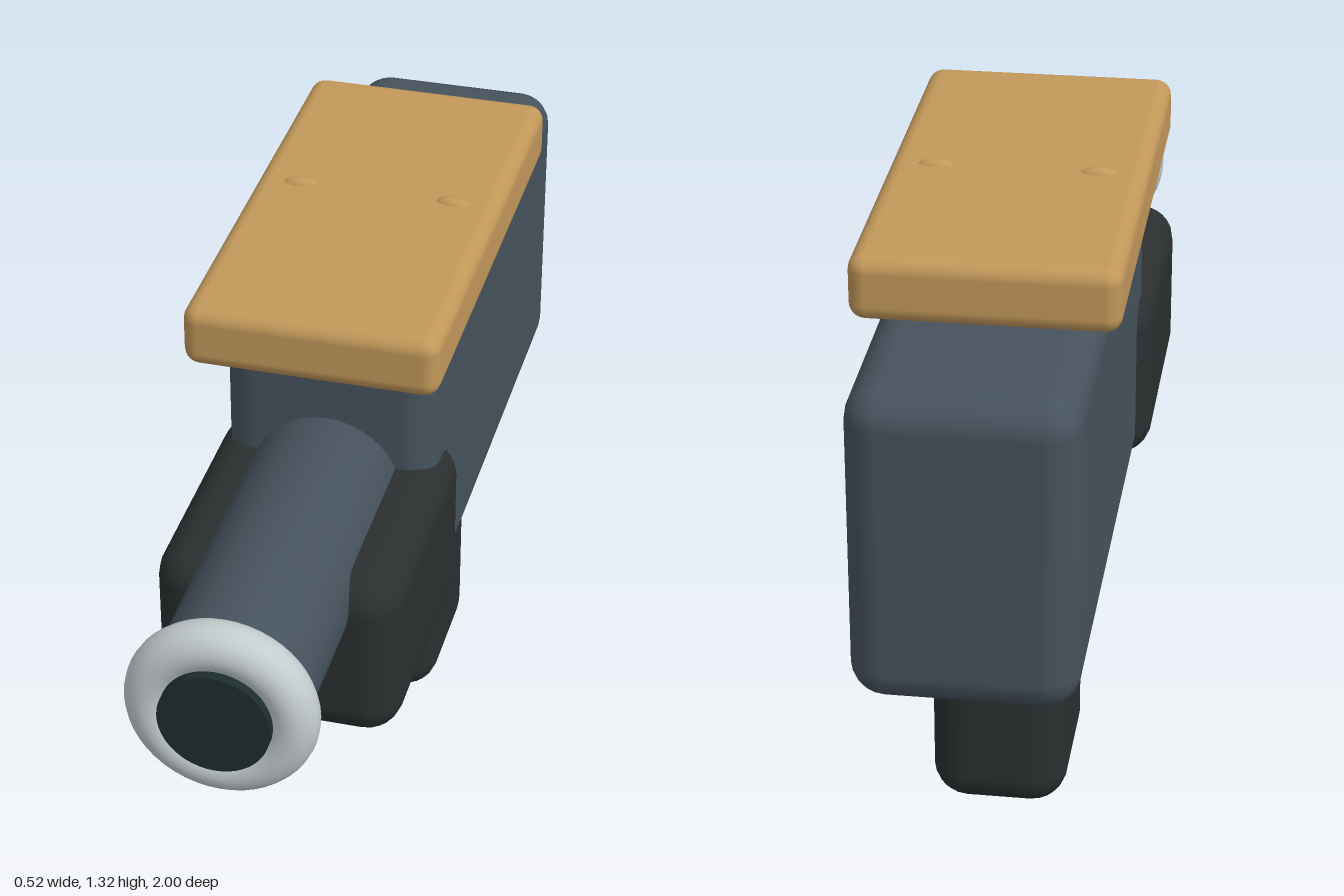
import * as THREE from 'three';
import { RoundedBoxGeometry } from 'three/addons/geometries/RoundedBoxGeometry.js';

const mat = (color) => new THREE.MeshStandardMaterial({ color });

export function createModel() {
  const group = new THREE.Group();
  const steel = mat(0x46525d);
  const black = mat(0x2b2f2f);
  const tan = mat(0xc2985a);
  const silver = mat(0xc4cccf);
  const bore = mat(0x1e2c2d);

  const add = (name, geometry, material, x = 0, y = 0, z = 0) => {
    const mesh = new THREE.Mesh(geometry, material);
    mesh.name = name;
    mesh.position.set(x, y, z);
    group.add(mesh);
    return mesh;
  };

  // Rounded block centred on x = 0, given its half width and y / z ranges
  const block = (name, material, halfW, [y0, y1], [z0, z1], radius, segments = 3) =>
    add(name, new RoundedBoxGeometry(halfW * 2, y1 - y0, z1 - z0, segments, radius),
      material, 0, (y0 + y1) / 2, (z0 + z1) / 2);

  // Surface of revolution around the z axis from [radius, z] points
  const turned = (name, material, points) => {
    const geometry = new THREE.LatheGeometry(points.map(([r, z]) => new THREE.Vector2(r, z)), 48);
    geometry.rotateX(Math.PI / 2);
    return add(name, geometry, material, 0, 0.85, 0);
  };

  // Main blocks
  block('body', steel, 0.22, [0.525, 1.175], [-1, 0.19], 0.07);
  block('foregrip', black, 0.25, [0.525, 0.905], [0.02, 0.605], 0.075);
  block('handle', black, 0.14, [0, 0.66], [-0.55, -0.185], 0.075);
  block('triggerGuard', steel, 0.08, [0.375, 0.7], [-0.3, 0.175], 0.078, 5);
  block('topPlate', tan, 0.26, [1.172, 1.305], [-0.685, 0.325], 0.033);

  // Barrel with softened front edge
  turned('barrel', steel, [
    [0, 0.1], [0.155, 0.1], [0.155, 0.87], [0.152, 0.882], [0.143, 0.89], [0, 0.89],
  ]);

  // Muzzle ring and dark opening
  add('muzzleRing', new THREE.TorusGeometry(0.14, 0.05, 20, 48), silver, 0, 0.85, 0.94);
  const opening = new THREE.CylinderGeometry(0.11, 0.11, 0.12, 48);
  opening.rotateX(Math.PI / 2);
  add('muzzleOpening', opening, bore, 0, 0.85, 0.94);

  // Studs on the top plate
  for (const side of [-1, 1]) {
    const stud = add(side > 0 ? 'leftStud' : 'rightStud',
      new THREE.SphereGeometry(1, 24, 16), tan, side * 0.163, 1.295, -0.215);
    stud.scale.set(0.04, 0.021, 0.02);
  }
  return group;
}
